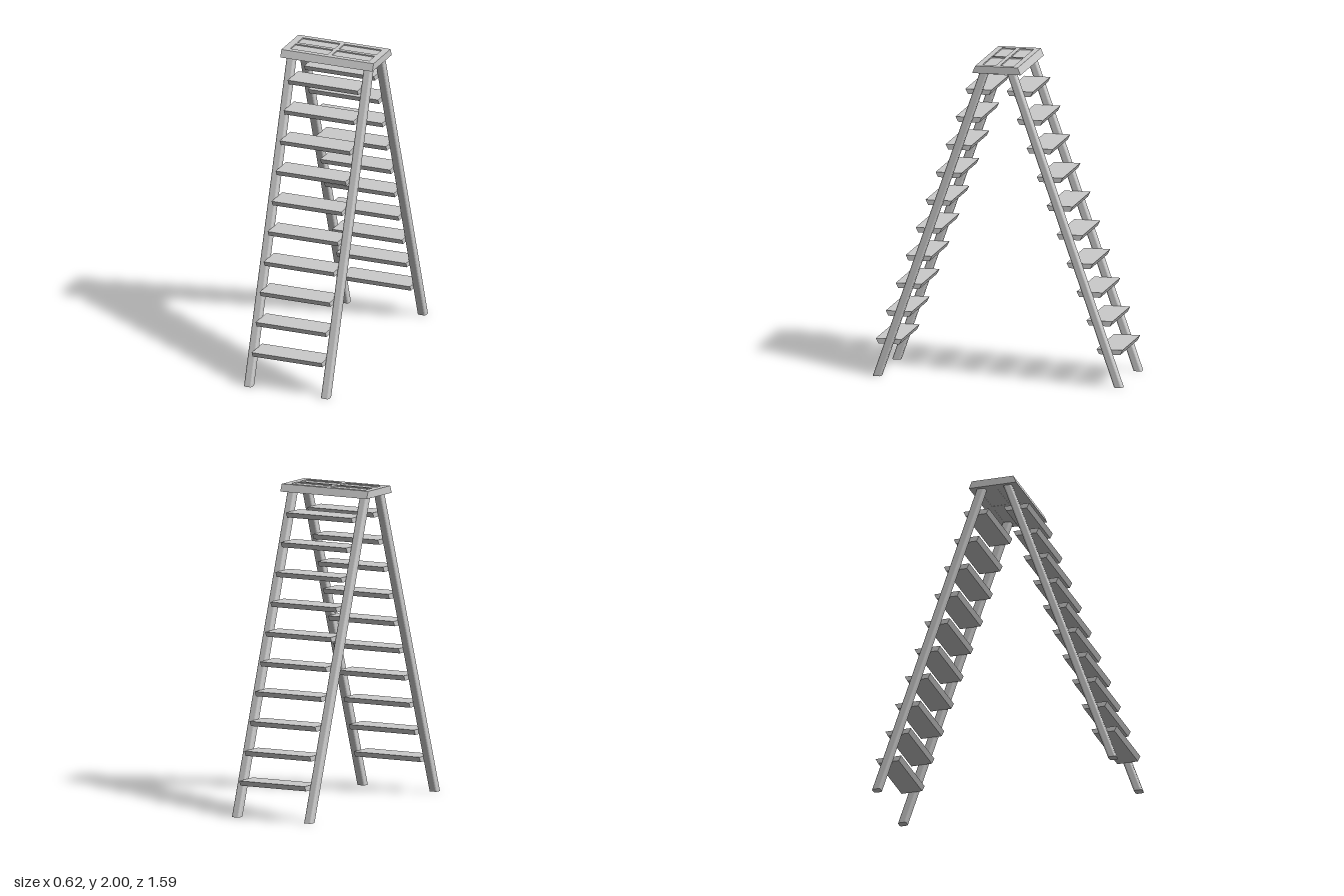
import * as THREE from 'three';

const mat = new THREE.MeshStandardMaterial({ color: 0xcccccc, flatShading: true });
const H = 1.96, SLOPE = 0.349, FOOT_Z = 0.769;
const railZ = (y) => FOOT_Z - SLOPE * y;

function addMesh(parent, geo, name) {
  const m = new THREE.Mesh(geo, mat);
  m.name = name;
  parent.add(m);
  return m;
}

// Rectangle outline with chamfer-like rounded corners
function roundedRect(w, d, r) {
  const s = new THREE.Shape(), x = w / 2, y = d / 2;
  s.absarc(x - r, y - r, r, 0, Math.PI / 2);
  s.absarc(-x + r, y - r, r, Math.PI / 2, Math.PI);
  s.absarc(-x + r, -y + r, r, Math.PI, Math.PI * 1.5);
  s.absarc(x - r, -y + r, r, Math.PI * 1.5, Math.PI * 2);
  return s;
}

// Leaning rail: upright extrusion sheared in z so its ends stay level
function railGeometry() {
  const g = new THREE.ExtrudeGeometry(roundedRect(0.054, 0.054, 0.013),
    { depth: H, bevelEnabled: false, curveSegments: 3 });
  g.rotateX(-Math.PI / 2);
  const p = g.attributes.position;
  for (let i = 0; i < p.count; i++) p.setZ(i, p.getZ(i) + railZ(p.getY(i)));
  g.computeVertexNormals();
  return g;
}

// Step: board with undercut front and back edges
function stepGeometry() {
  const s = new THREE.Shape([[-0.083, 0.016], [-0.067, -0.016], [0.067, -0.016], [0.083, 0.016]]
    .map(([a, b]) => new THREE.Vector2(a, b)));
  const g = new THREE.ExtrudeGeometry(s, { depth: 0.47, bevelEnabled: false });
  g.translate(0, 0, -0.235);
  g.rotateY(Math.PI / 2);
  return g;
}

// Top cap: flared front and back edges, four shallow tray recesses
function addCap(parent) {
  const rect = (T, x0, y0, x1, y1) => {
    const t = new T();
    t.moveTo(x0, y0); t.lineTo(x1, y0); t.lineTo(x1, y1); t.lineTo(x0, y1); t.closePath();
    return t;
  };
  const s = rect(THREE.Shape, -0.31, -0.135, 0.31, 0.135);
  for (const [x0, x1] of [[-0.266, -0.013], [0.013, 0.266]])
    for (const [z0, z1] of [[-0.1, -0.013], [0.013, 0.1]])
      s.holes.push(rect(THREE.Path, x0, z0, x1, z1));
  const g = new THREE.ExtrudeGeometry(s, { depth: 0.046, bevelEnabled: false });
  g.rotateX(-Math.PI / 2);
  g.translate(0, 1.954, 0);
  const p = g.attributes.position;
  for (let i = 0; i < p.count; i++) {
    const z = p.getZ(i);
    if (Math.abs(z) > 0.13 && p.getY(i) < 1.97) p.setZ(i, Math.sign(z) * 0.154);
  }
  g.computeVertexNormals();
  addMesh(parent, g, 'topCap');
  // Floor of the recesses
  addMesh(parent, new THREE.BoxGeometry(0.56, 0.037, 0.23), 'trayFloor').position.y = 1.9735;
}

export function createModel() {
  const model = new THREE.Group();
  model.name = 'stepladder';
  const rail = railGeometry(), step = stepGeometry();

  // Two identical frames leaning together
  for (const [name, turn] of [['frontFrame', 0], ['backFrame', Math.PI]]) {
    const frame = new THREE.Group();
    frame.name = name;
    frame.rotation.y = turn;
    addMesh(frame, rail, 'leftRail').position.x = 0.259;
    addMesh(frame, rail, 'rightRail').position.x = -0.259;
    for (let i = 0; i < 10; i++) {
      const y = 0.213 + i * 0.1785;
      addMesh(frame, step, 'step' + (i + 1)).position.set(0, y, 0.703 - i * 0.0635);
    }
    model.add(frame);
  }
  addCap(model);
  return model;
}
